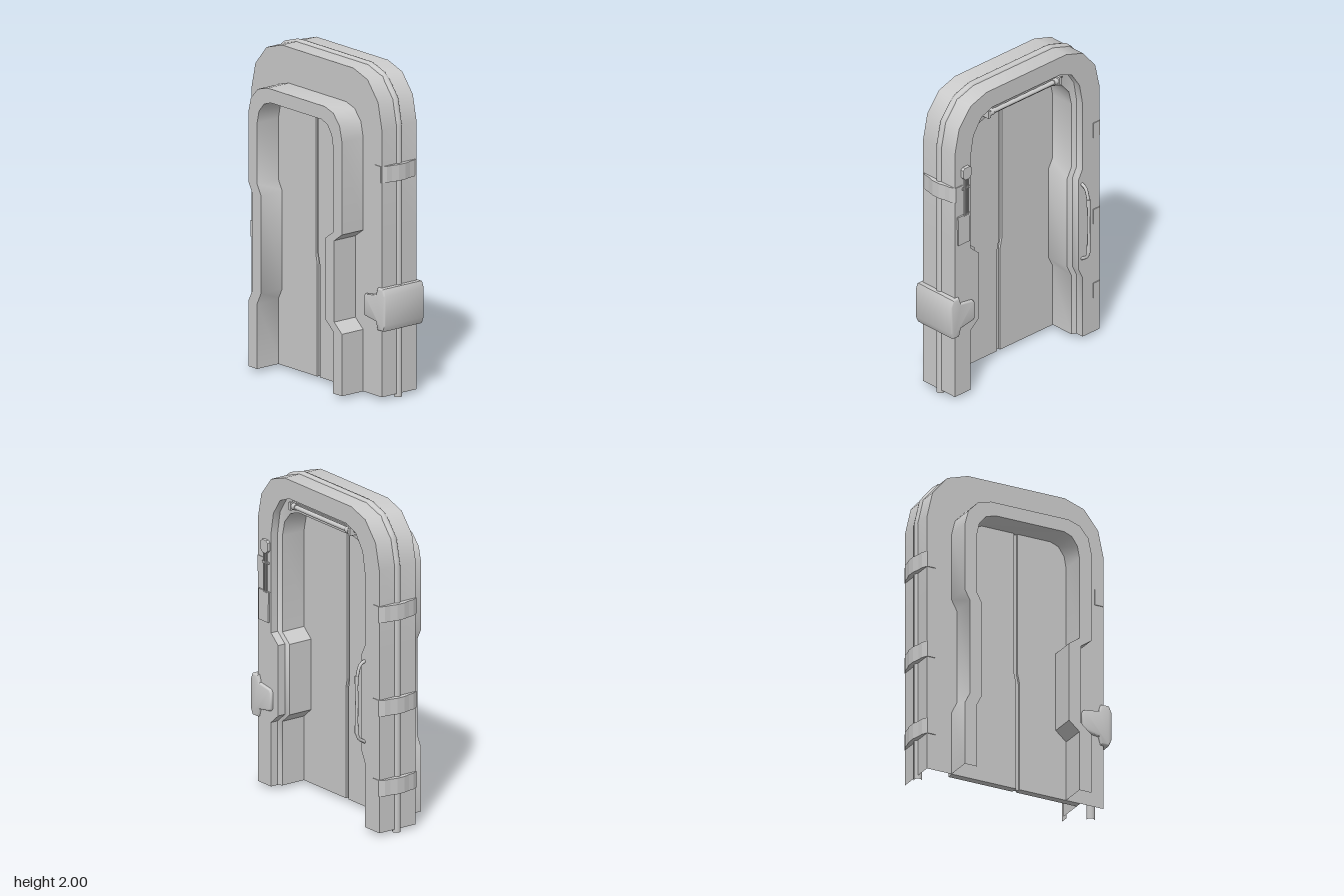
import * as THREE from 'three';
import { toCreasedNormals } from 'three/addons/utils/BufferGeometryUtils.js';

const grey = new THREE.MeshStandardMaterial({ color: 0xcccccc });

// Arch outline as [z, y] points, from the +z foot over the top to the -z foot.
// Each post can step inward between the given heights.
function arch({ zl, zr, top, flat, spring, stepL = 0, stepR = 0,
  yl = [0.42, 0.48, 0.92, 0.98], yr = [0.42, 0.49, 1.09, 1.155] }, foot = 0.02) {
  const side = (w, step, ys) => {
    const pts = [[w, foot], [w, ys[0]], [w - step, ys[1]], [w - step, ys[2]], [w, ys[3]]];
    for (let k = 0; k <= 3; k++) {
      const a = (k * Math.PI) / 6;
      pts.push([flat + (w - flat) * Math.cos(a), spring + (top - spring) * Math.sin(a)]);
    }
    return pts;
  };
  return [...side(zl, stepL, yl), ...side(zr, stepR, yr).reverse().map(([z, y]) => [-z, y])];
}

// Skin over a row of arches, each placed at its own x
function skin(rows) {
  const n = rows[0].pts.length, pos = [], idx = [];
  rows.forEach(({ x, pts }) => pts.forEach(([z, y]) => pos.push(x, y, z)));
  for (let j = 0; j < rows.length - 1; j++)
    for (let i = 0; i < n - 1; i++) {
      const a = j * n + i, b = a + n;
      idx.push(a, b, a + 1, b, b + 1, a + 1);
    }
  const g = new THREE.BufferGeometry();
  g.setAttribute('position', new THREE.Float32BufferAttribute(pos, 3));
  g.setIndex(idx);
  return toCreasedNormals(g, 0.6);
}

// Plate drawn in [z, y] and given thickness from x0 to x1
function plate(pts, x0, x1, bevel = 0) {
  const shape = new THREE.Shape(pts.map(([z, y]) => new THREE.Vector2(-z, y)));
  const g = new THREE.ExtrudeGeometry(shape, {
    depth: x1 - x0 - 2 * bevel, bevelEnabled: bevel > 0, bevelSize: bevel,
    bevelThickness: bevel, bevelOffset: -bevel, bevelSegments: 2,
  });
  return g.rotateY(Math.PI / 2).translate(x0 + bevel, 0, 0);
}

export function createModel() {
  const model = new THREE.Group();
  const add = (name, geo, x = 0, y = 0, z = 0, parent = model) => {
    const m = new THREE.Mesh(geo, grey);
    m.name = name;
    m.position.set(x, y, z);
    parent.add(m);
    return m;
  };
  const group = (name) => {
    const g = new THREE.Group();
    g.name = name;
    model.add(g);
    return g;
  };

  // Frame: rear collar, main arch and stepped reveal in one skin
  const steps = { stepL: 0.07, stepR: 0.035 };
  const back = { ...steps, yl: [0.4, 0.46, 0.96, 1.01] };
  const collarIn = arch({ zl: 0.335, zr: 0.355, top: 1.68, flat: 0.23, spring: 1.53, ...back });
  const collarOut = arch({ zl: 0.415, zr: 0.435, top: 1.765, flat: 0.26, spring: 1.58, ...back });
  const outer = arch({ zl: 0.585, zr: 0.6, top: 1.985, flat: 0.325, spring: 1.66 });
  const lip = arch({ zl: 0.456, zr: 0.46, top: 1.867, flat: 0.28, spring: 1.6, ...steps });
  const reveal = arch({ zl: 0.43, zr: 0.432, top: 1.767, flat: 0.27, spring: 1.58, ...steps });
  add('frame', skin([
    { x: -0.07, pts: collarIn }, { x: -0.255, pts: collarIn },
    { x: -0.255, pts: collarOut }, { x: -0.09, pts: collarOut },
    { x: -0.09, pts: outer }, { x: 0.18, pts: outer },
    { x: 0.18, pts: lip }, { x: 0.13, pts: lip },
    { x: 0.115, pts: reveal }, { x: -0.07, pts: reveal },
  ]));

  // Seal pipe around the outside of the frame
  const sealPts = arch({ zl: 0.573, zr: 0.588, top: 1.975, flat: 0.322, spring: 1.66 }, 0);
  const seal = new THREE.CurvePath();
  const sealV = sealPts.map(([z, y]) => new THREE.Vector3(0.045, y, z));
  for (let i = 1; i < sealV.length; i++) seal.add(new THREE.LineCurve3(sealV[i - 1], sealV[i]));
  add('sealPipe', new THREE.TubeGeometry(seal, 120, 0.025, 10));

  // Door: core plate with two leaves on each side, split by a jogged seam
  const door = group('door');
  add('doorCore', plate(reveal, -0.075, -0.06), 0, 0, 0, door);
  const half = reveal.length / 2;
  const seam = (d) => [[d - 0.003, 1.767], [d - 0.003, 0.77], [d + 0.01, 0.71], [d + 0.01, 0.02]];
  const leaves = {
    leftLeaf: [...reveal.slice(0, half), ...seam(0.012)],
    rightLeaf: [...seam(-0.012).reverse(), ...reveal.slice(half)],
  };
  for (const [name, pts] of Object.entries(leaves)) {
    add(name + 'Front', plate(pts, -0.06, -0.045), 0, 0, 0, door);
    add(name + 'Back', plate(pts, -0.09, -0.075), 0, 0, 0, door);
  }

  // Clamps wrapping the posts: three on the hinge side, one on the lock side
  const half1 = [[0.14, 0.545], [0.14, 0.6], [0.105, 0.618], [0.07, 0.622], [0.025, 0.634]];
  const clampPts = [...half1, ...half1.map(([x, z]) => [-x, z]).reverse()];
  const clamp = (name, y, s) => {
    const shape = new THREE.Shape(clampPts.map(([x, z]) =>
      new THREE.Vector2(0.045 + x, s < 0 ? z : -z + 0.02)));
    const g = new THREE.ExtrudeGeometry(shape, { depth: 0.1, bevelEnabled: false });
    add(name, g.rotateX(-Math.PI / 2), 0, y - 0.05, 0);
  };
  [1.385, 0.8, 0.3].forEach((y) => clamp('hingeClamp', y, -1));
  clamp('lockSideClamp', 1.385, 1);

  // Lock housing that grips the post
  add('lockHousing', toCreasedNormals(plate([
    [0.632, 0.47], [0.632, 0.65], [0.615, 0.69], [0.565, 0.69], [0.55, 0.645], [0.45, 0.63],
    [0.438, 0.615], [0.438, 0.51], [0.45, 0.495], [0.55, 0.48], [0.565, 0.43], [0.615, 0.43],
  ], -0.11, 0.2, 0.01), 0.8));

  // Grab handle
  const grip = new THREE.CatmullRomCurve3([
    [0.175, 1.058], [0.21, 1.04], [0.235, 0.96], [0.237, 0.8], [0.237, 0.65], [0.225, 0.585], [0.175, 0.55],
  ].map(([x, y]) => new THREE.Vector3(x, y, -0.455)));
  add('handle', new THREE.TubeGeometry(grip, 40, 0.01, 8));
  for (const y of [0.64, 0.95])
    add('handleCollar', new THREE.CylinderGeometry(0.013, 0.013, 0.05, 8), 0.236, y, -0.455);

  // Lamp on the ledge above the door
  const lamp = group('lamp');
  add('lampBase', new THREE.BoxGeometry(0.02, 0.03, 0.54), 0.125, 1.815, 0, lamp);
  add('lampTube', new THREE.CylinderGeometry(0.014, 0.014, 0.52, 10).rotateX(Math.PI / 2), 0.15, 1.815, 0, lamp);
  for (const s of [-1, 1]) {
    add('lampBracket', new THREE.BoxGeometry(0.05, 0.05, 0.018), 0.145, 1.815, s * 0.29, lamp);
    add('lampSocket', new THREE.CylinderGeometry(0.02, 0.02, 0.03, 10).rotateX(Math.PI / 2), 0.15, 1.815, s * 0.262, lamp);
  }
  add('lampWire', new THREE.CylinderGeometry(0.005, 0.005, 0.035, 6).rotateX(Math.PI / 2), 0.14, 1.815, -0.315, lamp);

  // Tool holder with its pouch, rods and head
  const tool = group('toolHolder');
  add('pouch', plate([[0.563, 1.04], [0.567, 1.232], [0.468, 1.232], [0.472, 1.04]], 0.175, 0.19), 0, 0, 0, tool);
  for (const z of [0.485, 0.5, 0.515])
    add('rod', new THREE.CylinderGeometry(0.005, 0.005, 0.25, 6), 0.19, 1.35, z, tool);
  add('rodClip', new THREE.BoxGeometry(0.012, 0.012, 0.06), 0.186, 1.41, 0.5, tool);
  add('toolHead', plate([
    [0.535, 1.49], [0.535, 1.54], [0.52, 1.553], [0.48, 1.553], [0.465, 1.54],
    [0.465, 1.49], [0.485, 1.47], [0.515, 1.47],
  ], 0.175, 0.2, 0.004), 0, 0, 0, tool);

  return model;
}
